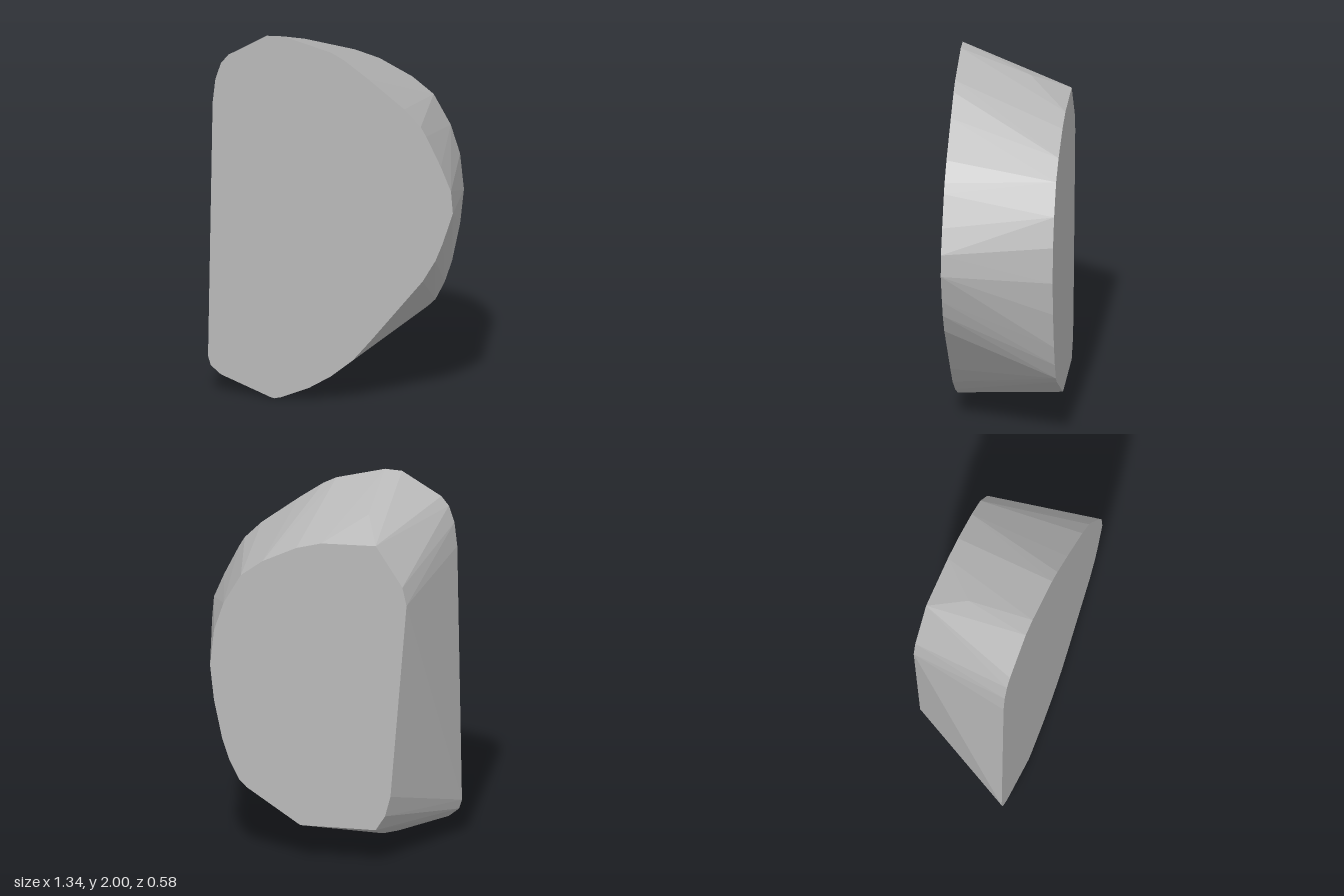
import * as THREE from 'three';
import { ConvexGeometry } from 'three/addons/geometries/ConvexGeometry.js';

// Large front outline, counter-clockwise from the bottom
const FRONT = [
  [-0.31, 0], [-0.27, 0.01], [-0.12, 0.075], [0, 0.15], [0.12, 0.25], [0.22, 0.37],
  [0.5, 0.72], [0.57, 0.84], [0.61, 0.94], [0.665, 1.11], [0.655, 1.23], [0.6, 1.36],
  [0.52, 1.52], [0.49, 1.57], [0.4, 1.66], [0.2, 1.81], [0.07, 1.9], [0, 1.935],
  [-0.26, 2], [-0.35, 1.995], [-0.56, 1.87], [-0.6, 1.82], [-0.63, 1.73], [-0.645, 1.6],
  [-0.67, 0.2], [-0.655, 0.15], [-0.6, 0.105], [-0.33, 0.005],
];

// Smaller back outline
const BACK = [
  [-0.33, 0.2], [0.073, 0.2], [0.36, 0.39], [0.4, 0.43], [0.45, 0.53], [0.49, 0.65],
  [0.534, 0.86], [0.555, 1.05], [0.534, 1.245], [0.483, 1.4], [0.39, 1.56], [0.275, 1.645],
  [0.095, 1.73], [-0.04, 1.765], [-0.33, 1.77], [-0.473, 1.55], [-0.495, 1.45],
  [-0.409, 0.39], [-0.38, 0.28],
];

// Slight bulges on the upper and lower flanks
const BULGES = [[-0.25, 1.87, -0.08], [-0.33, 0.12, -0.1]];

export function createModel() {
  const group = new THREE.Group();
  group.name = 'taperedBlock';

  const stone = new THREE.MeshStandardMaterial({ color: 0xb8b8b8 });
  stone.name = 'stone grey';

  // Faceted convex body wrapped around both outlines
  const ring = (outline, z) => outline.map(([x, y]) => new THREE.Vector3(x, y, z));
  const points = [
    ...ring(FRONT, 0.288),
    ...ring(BACK, -0.288),
    ...BULGES.map((p) => new THREE.Vector3(...p)),
  ];
  const body = new THREE.Mesh(new ConvexGeometry(points), stone);
  body.name = 'stoneBody';
  group.add(body);
  return group;
}
